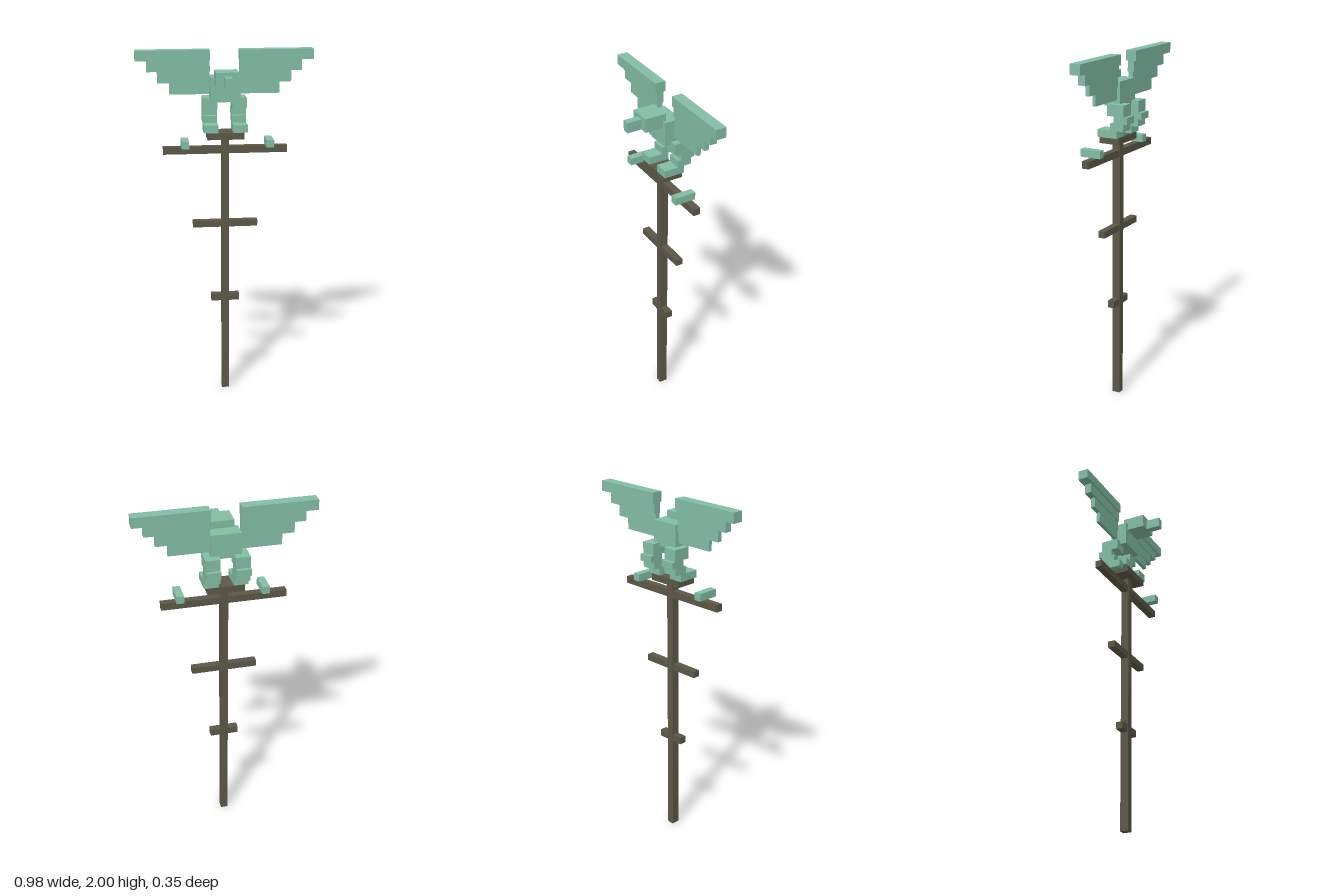
import * as THREE from 'three';

export function createModel() {
  const model = new THREE.Group();
  model.name = 'birdTotem';
  const material = (name, color) => {
    const m = new THREE.MeshStandardMaterial({ color });
    m.name = name;
    return m;
  };
  const jade = material('jade', 0x82bda4);
  const wood = material('darkWood', 0x5c5848);

  // Box given by its extents along each axis
  const block = (name, mat, [x0, x1], [y0, y1], [z0, z1], parent = model) => {
    const mesh = new THREE.Mesh(new THREE.BoxGeometry(x1 - x0, y1 - y0, z1 - z0), mat);
    mesh.position.set((x0 + x1) / 2, (y0 + y1) / 2, (z0 + z1) / 2);
    mesh.name = name;
    parent.add(mesh);
  };
  const span = (side, a, b) => (side > 0 ? [a, b] : [-b, -a]);

  // Pole, crossbars and perch platform
  block('pole', wood, [-0.02, 0.02], [0, 1.515], [-0.073, -0.027]);
  for (const [half, y0, y1] of [[0.08, 0.555, 0.595], [0.183, 1.003, 1.04], [0.346, 1.43, 1.47]]) {
    block('crossbar', wood, [-half, half], [y0, y1], [-0.07, -0.03]);
  }
  block('platform', wood, [-0.102, 0.102], [1.515, 1.553], [-0.109, 0.01]);

  // Body, head and beak
  block('body', jade, [-0.083, 0.083], [1.72, 1.857], [-0.109, -0.012]);
  block('head', jade, [-0.062, 0.062], [1.82, 1.897], [-0.03, 0.091]);
  block('beak', jade, [-0.02, 0.02], [1.82, 1.878], [0.091, 0.173]);

  // Leg segments from foot to thigh: y0, y1, z0, z1
  const legRows = [
    ['foot', 1.553, 1.595, -0.109, 0.01],
    ['ankle', 1.595, 1.635, -0.15, -0.07],
    ['knee', 1.635, 1.673, -0.172, -0.09],
    ['thigh', 1.673, 1.737, -0.152, -0.05],
  ];
  // Wing feathers from top to bottom: outer x, y0, y1, z0, z1
  const wingRows = [
    [0.49, 1.943, 2.0, -0.112, -0.052],
    [0.428, 1.883, 1.943, -0.102, -0.062],
    [0.37, 1.82, 1.883, -0.094, -0.068],
    [0.305, 1.757, 1.82, -0.09, -0.07],
  ];
  for (const side of [-1, 1]) {
    const label = side > 0 ? 'left' : 'right';
    const leg = new THREE.Group();
    leg.name = label + 'Leg';
    for (const [name, y0, y1, z0, z1] of legRows) {
      block(name, jade, span(side, 0.041, 0.121), [y0, y1], [z0, z1], leg);
    }
    const wing = new THREE.Group();
    wing.name = label + 'Wing';
    for (const [outer, y0, y1, z0, z1] of wingRows) {
      block('feather', jade, span(side, 0.082, outer), [y0, y1], [z0, z1], wing);
    }
    model.add(leg, wing);

    // Small ornament on the top crossbar, slightly further out on the left
    const inner = side > 0 ? 0.224 : 0.205;
    block(label + 'Ornament', jade, span(side, inner, inner + 0.041), [1.47, 1.512], [-0.09, 0.03]);
  }
  return model;
}
